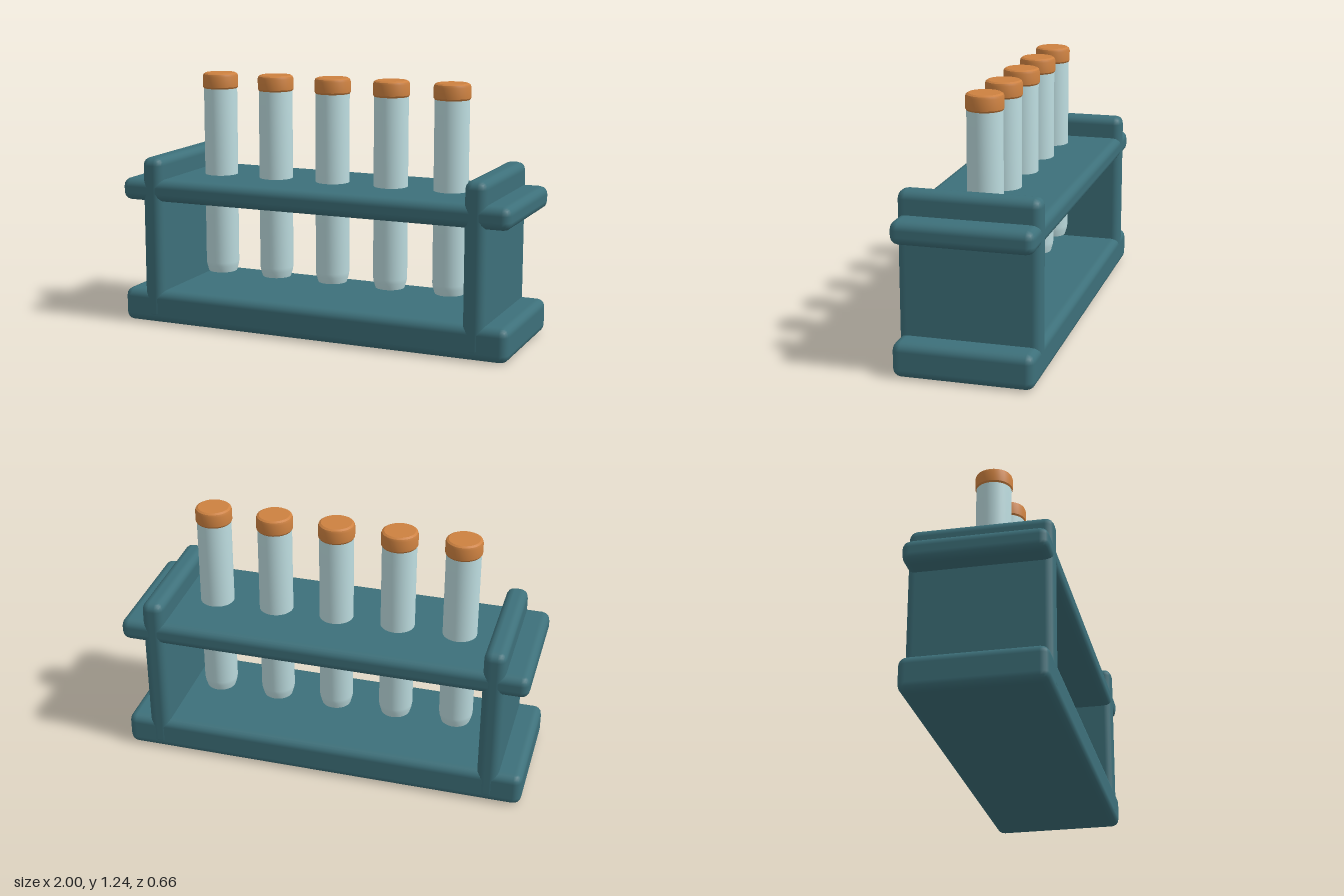
import * as THREE from 'three';
import { RoundedBoxGeometry } from 'three/addons/geometries/RoundedBoxGeometry.js';
import { toCreasedNormals } from 'three/addons/utils/BufferGeometryUtils.js';

export function createModel() {
  const model = new THREE.Group();
  model.name = 'testTubeRack';

  const paint = (name, color) => {
    const m = new THREE.MeshStandardMaterial({ color });
    m.name = name;
    return m;
  };
  const teal = paint('tealRack', 0x3d707a);
  const glass = paint('paleGlass', 0xbfdfe2);
  const cork = paint('orangeCork', 0xcd8140);

  const add = (parent, name, geometry, material, x = 0, y = 0, z = 0) => {
    const mesh = new THREE.Mesh(geometry, material);
    mesh.name = name;
    mesh.position.set(x, y, z);
    parent.add(mesh);
  };

  // Rounded boards, given by their height range
  const board = (name, width, y0, y1, depth, x = 0) =>
    add(model, name, new RoundedBoxGeometry(width, y1 - y0, depth, 2, 0.04), teal, x, (y0 + y1) / 2);

  board('base', 2, 0, 0.165, 0.656);
  board('shelf', 2, 0.615, 0.725, 0.656);
  for (const side of [-1, 1]) {
    board(side > 0 ? 'leftUpright' : 'rightUpright', 0.106, 0.01, 0.835, 0.66, side * 0.833);
  }

  // Turned shapes with crisp edges
  const turned = (points) => toCreasedNormals(
    new THREE.LatheGeometry(points.map(([r, y]) => new THREE.Vector2(r, y)), 32), 0.4);

  const tubeShape = turned([
    [0, 0.225], [0.071, 0.225], [0.08, 0.256], [0.083, 0.275], [0.083, 1.17], [0, 1.17],
  ]);
  const stopperShape = turned([
    [0, 1.158], [0.083, 1.158], [0.088, 1.166], [0.088, 1.218],
    [0.084, 1.229], [0.074, 1.235], [0, 1.235],
  ]);

  // Row of stoppered tubes
  for (let i = 0; i < 5; i++) {
    const tube = new THREE.Group();
    tube.name = `testTube${i + 1}`;
    tube.position.x = (i - 2) * 0.3055;
    add(tube, 'glassTube', tubeShape, glass);
    add(tube, 'stopper', stopperShape, cork);
    model.add(tube);
  }

  return model;
}
